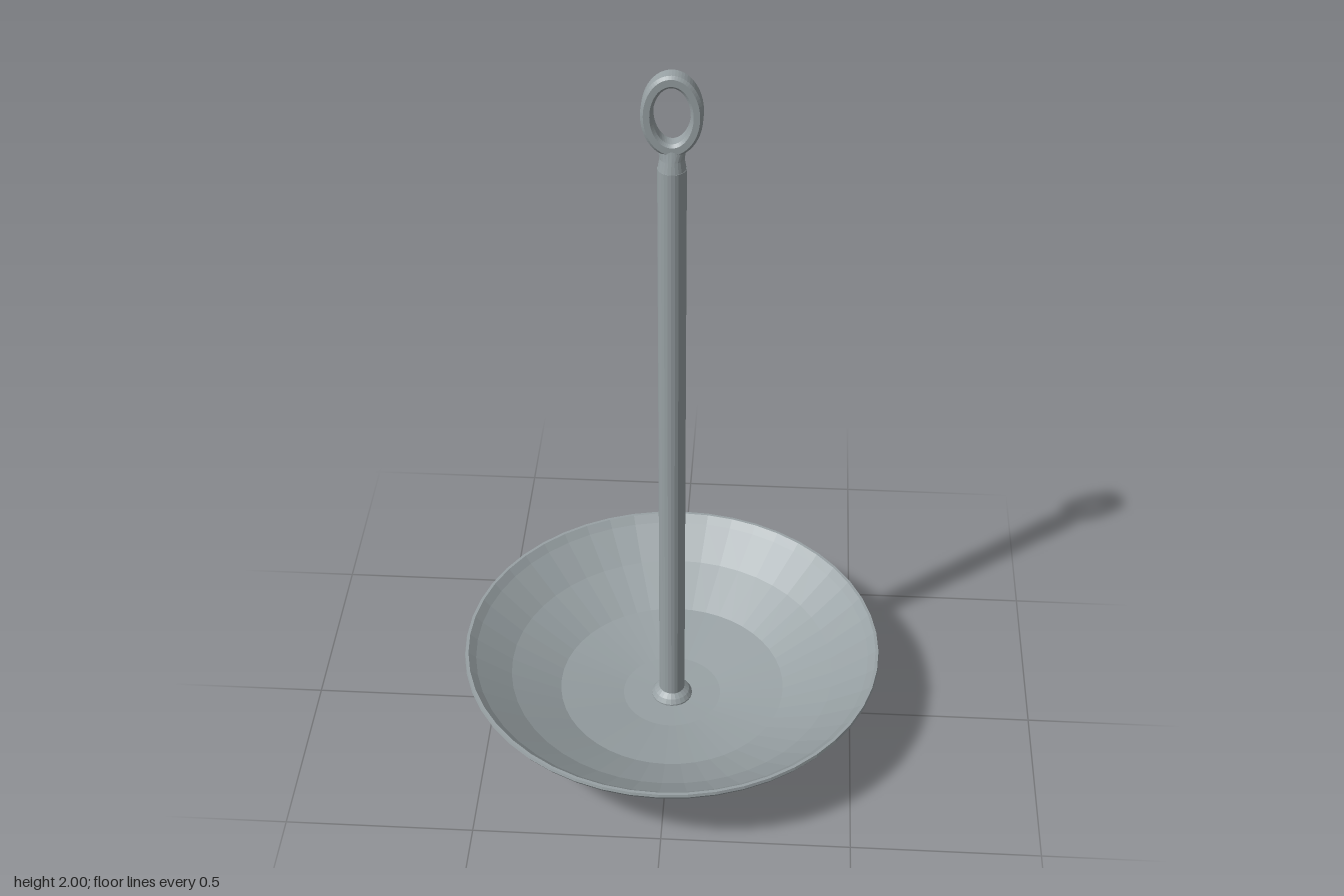
import * as THREE from 'three';

const steel = new THREE.MeshStandardMaterial({ color: 0x98a1a4, flatShading: true });
steel.name = 'galvanised steel';

function lathe(name, profile, segments) {
  const points = profile.map(([r, y]) => new THREE.Vector2(r, y));
  const mesh = new THREE.Mesh(new THREE.LatheGeometry(points, segments), steel);
  mesh.name = name;
  return mesh;
}

export function createModel() {
  const group = new THREE.Group();
  group.name = 'mushroomAnchor';

  // Thick bowl: underside, rim, then inside
  group.add(lathe('bowl', [
    [0, 0], [0.205, 0.003], [0.255, 0.02], [0.345, 0.073], [0.562, 0.22], [0.57, 0.232], [0.568, 0.24],
    [0.56, 0.24], [0.54, 0.221], [0.445, 0.153], [0.31, 0.085], [0.135, 0.055], [0, 0.05],
  ], 48));

  // Flared collar where the shaft meets the bowl
  group.add(lathe('collar', [[0.056, 0.045], [0.056, 0.056], [0.048, 0.068], [0.034, 0.08]], 24));

  // Round shaft
  group.add(lathe('shaft', [[0.035, 0.045], [0.035, 1.75], [0, 1.75]], 24));

  // Neck flattening from the round shaft to the width of the eye
  const neckGeometry = new THREE.CylinderGeometry(0.035, 0.035, 0.065, 24, 2);
  const p = neckGeometry.attributes.position;
  for (let i = 0; i < p.count; i++) {
    const t = (p.getY(i) + 0.0325) / 0.065;
    p.setX(i, p.getX(i) * (1 - 0.15 * Math.sin(t * Math.PI)));
    p.setZ(i, p.getZ(i) * (1 - 0.4 * t));
  }
  const neck = new THREE.Mesh(neckGeometry, steel);
  neck.name = 'neck';
  neck.position.y = 1.7775;
  group.add(neck);

  // Oval lifting eye with bevelled edges
  const bevel = 0.007;
  const oval = (path, rx, ry) => path.absellipse(0, 0, rx, ry, 0, Math.PI * 2, false, 0);
  const shape = oval(new THREE.Shape(), 0.073 - bevel, 0.105 - bevel);
  shape.holes.push(oval(new THREE.Path(), 0.044 + bevel, 0.073 + bevel));
  const eyeGeometry = new THREE.ExtrudeGeometry(shape, {
    depth: 0.03, bevelEnabled: true, bevelThickness: bevel, bevelSize: bevel, bevelSegments: 1, curveSegments: 32,
  });
  eyeGeometry.translate(0, 0, -0.015);
  const eye = new THREE.Mesh(eyeGeometry, steel);
  eye.name = 'liftingEye';
  eye.position.y = 1.895;
  group.add(eye);

  return group;
}
